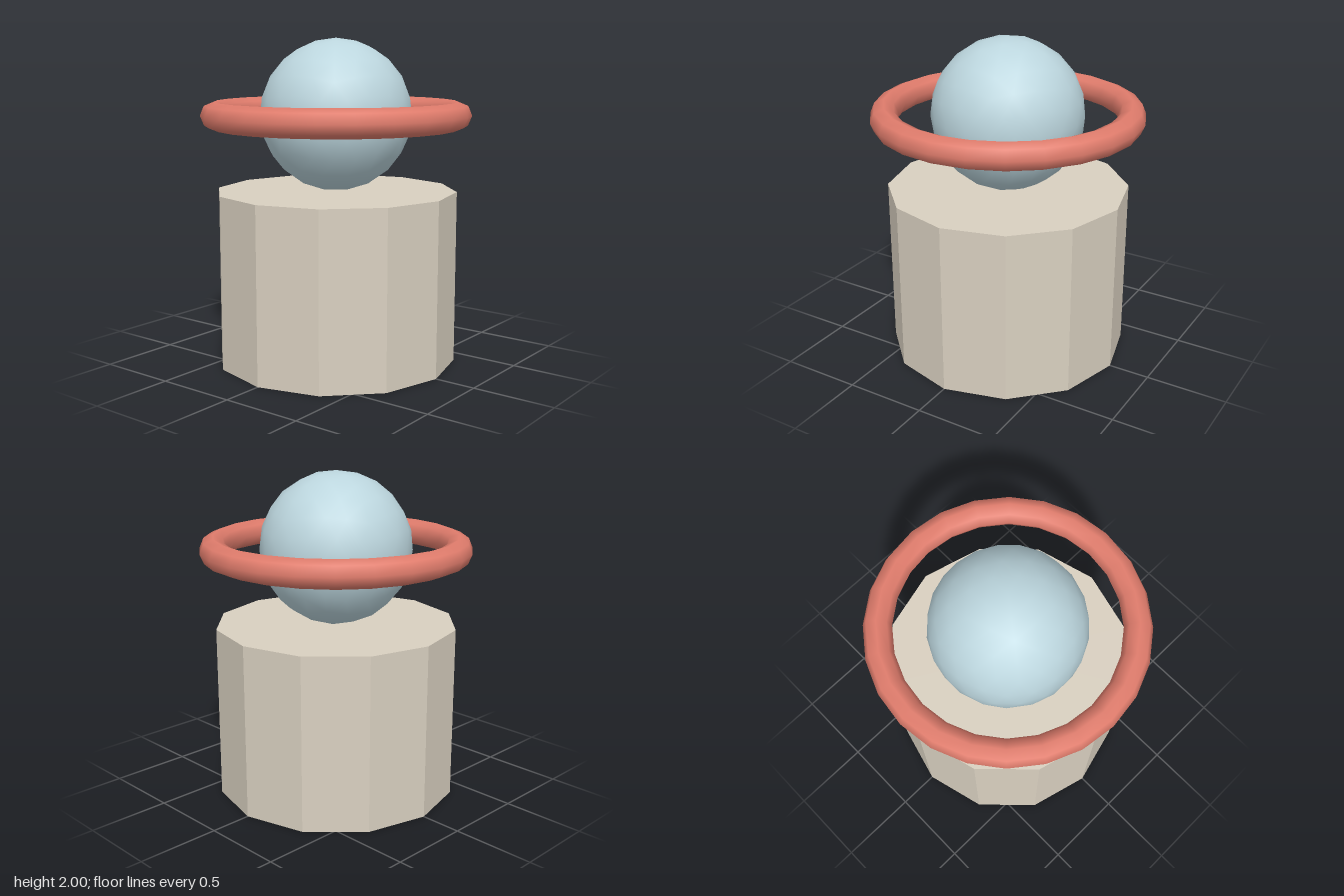
import * as THREE from 'three';

const clay = new THREE.MeshStandardMaterial({ color: 0xd9d0c0 });
clay.name = 'beige';
clay.flatShading = true;
const blue = new THREE.MeshStandardMaterial({ color: 0xbcd6de });
blue.name = 'paleBlue';
const coral = new THREE.MeshStandardMaterial({ color: 0xe07c6c });
coral.name = 'coral';

const TOP = 1.067; // top of the pedestal
const R = 0.4665; // ball radius

// Twice-subdivided icosahedron with a corner at the top and a corner toward +x
function icoSphere(radius) {
  const base = new THREE.IcosahedronGeometry(1, 1);
  const points = Array.from(base.attributes.position.array);
  const order = points.slice(0, points.length / 3).map((_, i) => i);
  const geometry = new THREE.PolyhedronGeometry(points, order, radius, 1);
  return geometry.rotateZ(-Math.atan(2 / (1 + Math.sqrt(5))));
}

export function createModel() {
  const model = new THREE.Group();
  model.name = 'ringedBallOnPedestal';

  const add = (name, geometry, material, y) => {
    const mesh = new THREE.Mesh(geometry, material);
    mesh.name = name;
    mesh.position.y = y;
    model.add(mesh);
  };

  // Twelve-sided pedestal
  add('pedestal', new THREE.CylinderGeometry(0.746, 0.746, TOP, 12), clay, TOP / 2);
  // Ball resting on the pedestal
  add('ball', icoSphere(R), blue, TOP + R);
  // Ring floating around the ball's middle
  add('ring', new THREE.TorusGeometry(0.745, 0.084, 8, 24).rotateX(Math.PI / 2), coral, TOP + R);

  return model;
}
